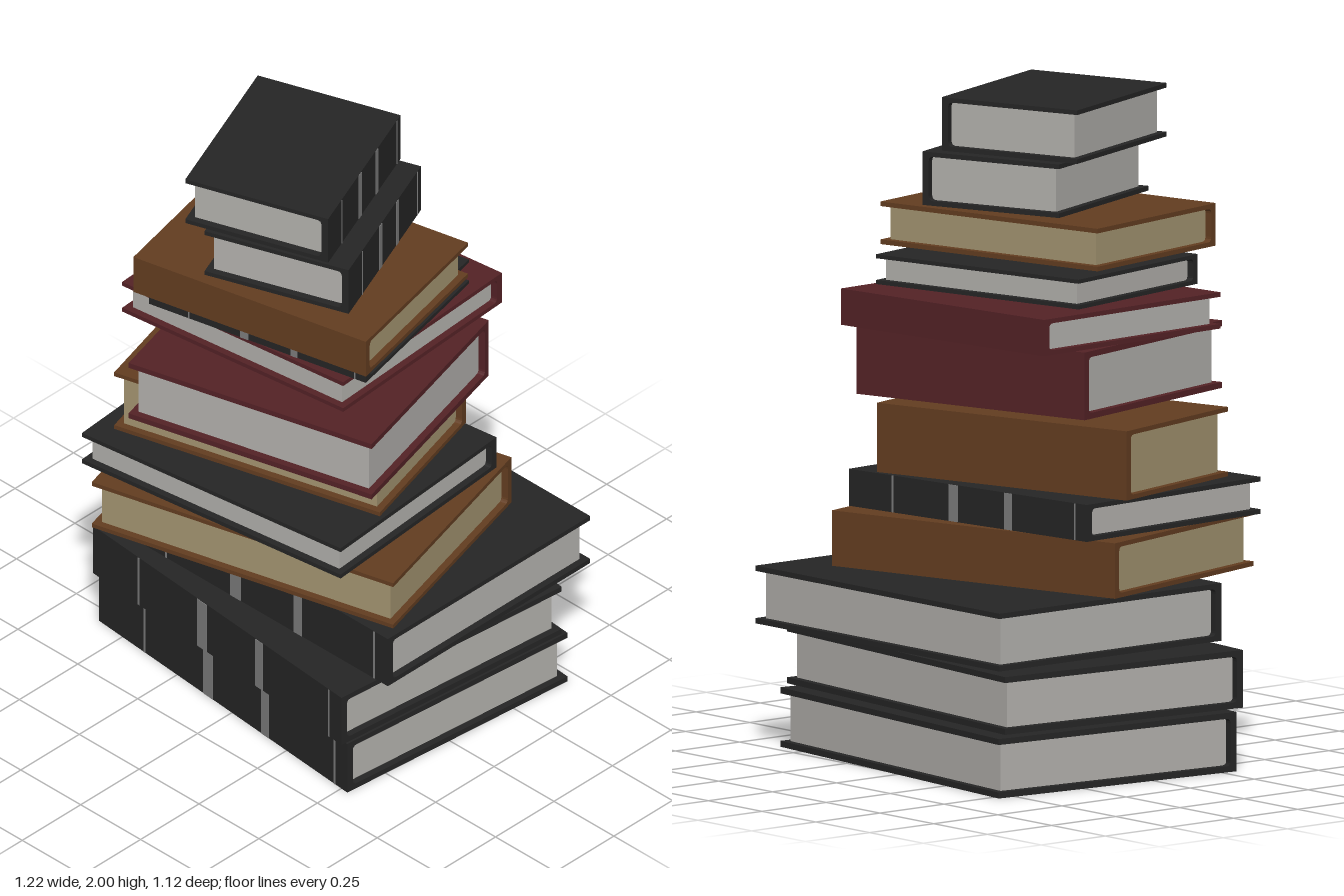
import * as THREE from 'three';

const mat = (name, color) => {
  const m = new THREE.MeshStandardMaterial({ color });
  m.name = name;
  return m;
};

export function createModel() {
  const black = mat('blackCover', 0x252525);
  const brown = mat('brownCover', 0x633d20);
  const red = mat('redCover', 0x542226);
  const grey = mat('greyPaper', 0xb2b0ac);
  const tan = mat('tanPaper', 0xa39470);
  const band = mat('spineBand', 0x7c7c7c);

  // C-shaped hard cover: two boards joined by a spine at +z, softly rounded inside
  function caseGeometry(w, h, d, t, spine) {
    const r = Math.min(0.015, h * 0.15);
    const z0 = -d / 2, z1 = d / 2, zi = z1 - spine;
    const s = new THREE.Shape();
    s.moveTo(z0, 0);
    s.lineTo(z1, 0);
    s.lineTo(z1, h);
    s.lineTo(z0, h);
    s.lineTo(z0, h - t);
    s.lineTo(zi - r, h - t);
    s.quadraticCurveTo(zi, h - t, zi, h - t - r);
    s.lineTo(zi, t + r);
    s.quadraticCurveTo(zi, t, zi - r, t);
    s.lineTo(z0, t);
    s.closePath();
    const g = new THREE.ExtrudeGeometry(s, { depth: w, bevelEnabled: false, curveSegments: 4 });
    return g.translate(0, 0, -w / 2).rotateY(-Math.PI / 2);
  }

  // u runs along the spine, v runs from the fore edge to the spine; both as [x, z]
  function book({ name, y, at, u, v, cover, paper, t = 0.014 }) {
    const w = Math.hypot(...u), d = Math.hypot(...v), h = y[1] - y[0];
    const spine = 0.022, inset = 0.022;
    const place = new THREE.Matrix4().makeBasis(
      new THREE.Vector3(u[0] / w, 0, u[1] / w),
      new THREE.Vector3(0, 1, 0),
      new THREE.Vector3(v[0] / d, 0, v[1] / d)
    ).setPosition(at[0], y[0], at[1]);

    const group = new THREE.Group();
    group.name = name;
    const add = (part, geometry, material) => {
      const mesh = new THREE.Mesh(geometry.applyMatrix4(place), material);
      mesh.name = part;
      group.add(mesh);
    };

    add('cover', caseGeometry(w, h, d, t, spine), cover);

    // Page block, set back from the cover on its three open sides
    const pd = d - inset - spine / 2;
    add('pages', new THREE.BoxGeometry(w - 2 * inset, h - 1.8 * t, pd)
      .translate(0, h / 2, -d / 2 + inset + pd / 2), paper);

    // Worn bands across the spines of the black books: [position, width] as shares of the length
    if (cover === black) {
      for (const [p, k] of [[-0.06, 0.038], [0.17, 0.03], [-0.315, 0.006], [0.45, 0.005]]) {
        add('spineBand', new THREE.BoxGeometry(w * k, h * 0.99, 0.003)
          .translate(w * p, h / 2, d / 2 + 0.0005), band);
      }
    }
    return group;
  }

  // The stack, from the bottom up
  const stack = [
    { y: [0, 0.18], at: [0, -0.08], u: [1.135, 0.1], v: [-0.08, 0.86], cover: black, paper: grey, t: 0.018 },
    { y: [0.19, 0.365], at: [0, -0.055], u: [1.135, 0.1], v: [-0.08, 0.86], cover: black, paper: grey, t: 0.018 },
    { y: [0.385, 0.56], at: [0.037, -0.127], u: [1.135, 0], v: [0, 0.865], cover: black, paper: grey, t: 0.016 },
    { y: [0.572, 0.74], at: [-0.005, 0.05], u: [-1.0, 0.265], v: [-0.19, -0.7], cover: brown, paper: tan },
    { y: [0.745, 0.857], at: [-0.042, 0.065], u: [-0.958, 0.125], v: [-0.057, -0.725], cover: black, paper: grey },
    { y: [0.86, 1.07], at: [-0.07, 0.033], u: [-0.875, 0.24], v: [-0.144, -0.515], cover: brown, paper: tan },
    { y: [1.085, 1.29], at: [0.08, 0.107], u: [-0.805, 0.215], v: [-0.185, -0.69], cover: red, paper: grey, t: 0.018 },
    { y: [1.305, 1.415], at: [-0.02, -0.01], u: [-0.825, 0.1], v: [-0.045, -0.725], cover: red, paper: grey },
    { y: [1.42, 1.51], at: [0.035, 0.06], u: [0.742, -0.168], v: [0.128, 0.572], cover: black, paper: grey, t: 0.012 },
    { y: [1.523, 1.652], at: [0.083, 0.144], u: [0.795, -0.18], v: [0.13, 0.57], cover: brown, paper: tan },
    { y: [1.668, 1.83], at: [0.0975, 0.107], u: [-0.21, -0.525], v: [0.445, -0.16], cover: black, paper: grey },
    { y: [1.838, 2], at: [0.035, 0.128], u: [-0.21, -0.525], v: [0.445, -0.155], cover: black, paper: grey },
  ];

  const model = new THREE.Group();
  model.name = 'bookStack';
  stack.forEach((b, i) => model.add(book({ name: `book${i + 1}`, ...b })));
  return model;
}
